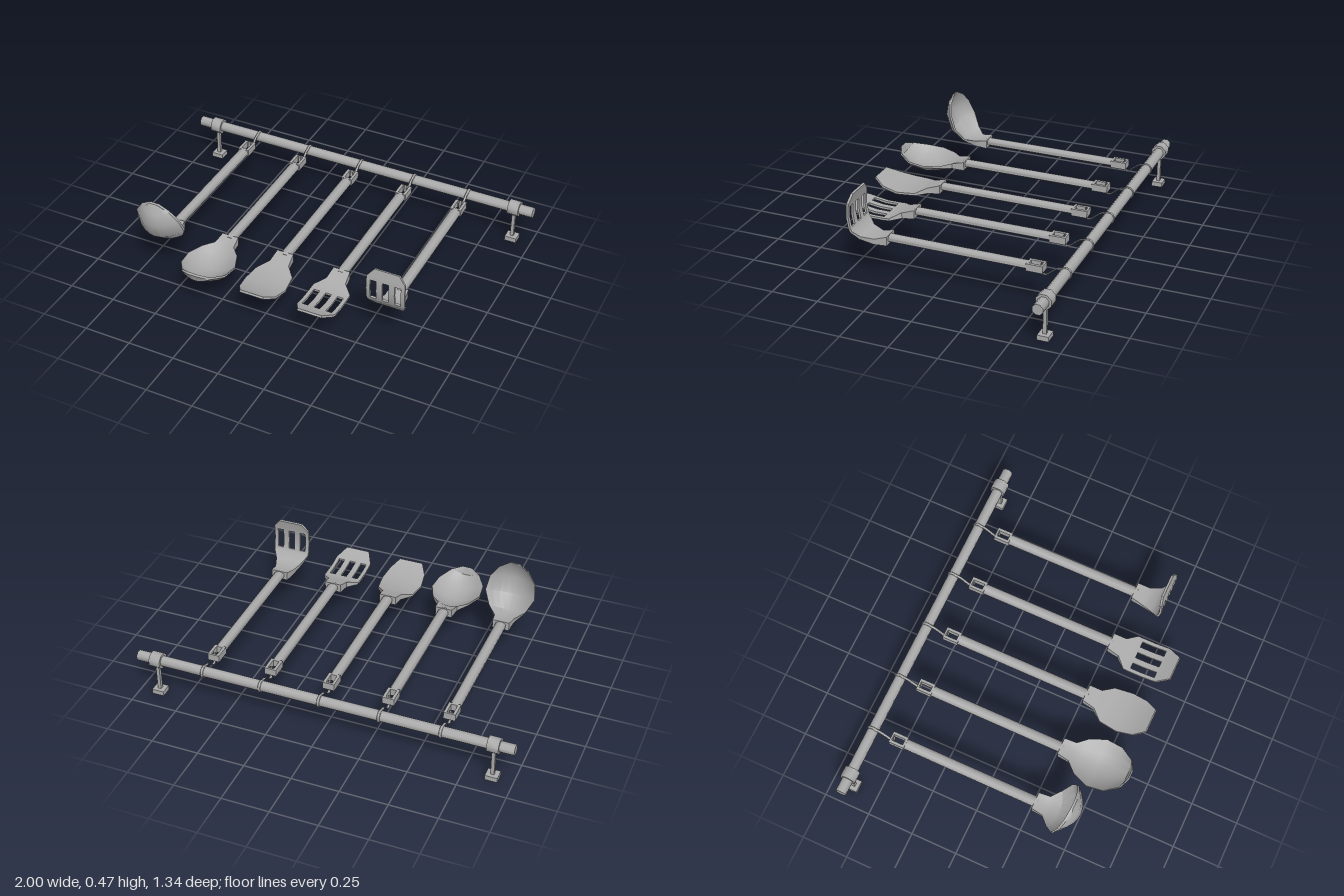
import * as THREE from 'three';
import { toCreasedNormals } from 'three/addons/utils/BufferGeometryUtils.js';

const steel = new THREE.MeshStandardMaterial({ color: 0xaaaaaa });
steel.name = 'steel grey';

const RAIL_Y = 0.205, RAIL_Z = -0.635, HANDLE_Y = 0.215;

function add(parent, name, geometry, x = 0, y = 0, z = 0) {
  const mesh = new THREE.Mesh(geometry, steel);
  mesh.name = name;
  mesh.position.set(x, y, z);
  parent.add(mesh);
  return mesh;
}

// Tool head: shell swept along stations [z, y, halfWidth, bowlDepth, thickness].
// columns are fractions of the half width; isHole(row, column) leaves slots open.
function headGeometry(stations, columns, isHole = () => false) {
  const rows = stations.length, cols = columns.length;
  const top = [], bottom = [];
  stations.forEach(([z, y, w, depth, thick], i) => {
    const a = stations[Math.max(i - 1, 0)], b = stations[Math.min(i + 1, rows - 1)];
    const tz = b[0] - a[0], ty = b[1] - a[1], len = Math.hypot(tz, ty);
    const nz = i ? -ty / len : 0, ny = i ? tz / len : 1;
    const point = (u, lift) => {
      const d = lift - depth * (1 - u * u);
      return [u * w, y + ny * d, z + nz * d];
    };
    top.push(columns.map(u => point(u, thick / 2)));
    bottom.push(columns.map(u => point(u, -thick / 2)));
  });
  const pos = [];
  const quad = (a, b, c, d) => pos.push(...a, ...b, ...c, ...a, ...c, ...d);
  const filled = (i, j) => i >= 0 && j >= 0 && i < rows - 1 && j < cols - 1 && !isHole(i, j);
  for (let i = 0; i < rows - 1; i++) {
    for (let j = 0; j < cols - 1; j++) {
      if (!filled(i, j)) continue;
      const ring = [[i, j], [i + 1, j], [i + 1, j + 1], [i, j + 1]];
      const t = ring.map(([r, c]) => top[r][c]);
      const b = ring.map(([r, c]) => bottom[r][c]);
      quad(...t);
      quad(b[3], b[2], b[1], b[0]);
      // edge walls wherever the neighbouring cell is open
      [[0, -1], [1, 0], [0, 1], [-1, 0]].forEach(([di, dj], k) => {
        const n = (k + 1) % 4;
        if (!filled(i + di, j + dj)) quad(t[k], b[k], b[n], t[n]);
      });
    }
  }
  const g = new THREE.BufferGeometry();
  g.setAttribute('position', new THREE.Float32BufferAttribute(pos, 3));
  return toCreasedNormals(g, 0.6);
}

const BOWL = [-1, -0.75, -0.5, -0.25, 0, 0.25, 0.5, 0.75, 1];
const SLOTTED = [-1, -0.8, -0.48, -0.16, 0.16, 0.48, 0.8, 1];
const slots = row => (i, j) => i >= row && i < row + 2 && j % 2 === 1;

const NECK = [0.28, 0.213, 0.045, 0, 0.048];
const T = 0.012;

const heads = {
  ladle: headGeometry([
    NECK, [0.345, 0.213, 0.053, 0.01, 0.03], [0.39, 0.245, 0.1, 0.04, T], [0.43, 0.31, 0.135, 0.073, T],
    [0.46, 0.385, 0.122, 0.068, T], [0.478, 0.44, 0.08, 0.038, T], [0.487, 0.473, 0.025, 0, T]], BOWL),
  spoon: headGeometry([
    NECK, [0.345, 0.208, 0.053, 0.01, 0.03], [0.395, 0.212, 0.1, 0.04, T], [0.48, 0.213, 0.135, 0.06, T],
    [0.57, 0.22, 0.125, 0.056, T], [0.64, 0.24, 0.078, 0.028, T], [0.665, 0.257, 0.025, 0, T]], BOWL),
  spatula: headGeometry([
    NECK, [0.345, 0.2, 0.053, 0, 0.03], [0.4, 0.188, 0.1, 0, T], [0.5, 0.185, 0.113, 0, T],
    [0.585, 0.2, 0.1, 0, T], [0.645, 0.23, 0.065, 0, T]], [-1, 0, 1]),
  slottedTurner: headGeometry([
    NECK, [0.345, 0.2, 0.053, 0, 0.03], [0.395, 0.188, 0.1, 0, T], [0.43, 0.186, 0.101, 0, T],
    [0.5, 0.186, 0.101, 0, T], [0.565, 0.196, 0.101, 0, T], [0.58, 0.2, 0.1, 0, T],
    [0.645, 0.23, 0.065, 0, T]], SLOTTED, slots(3)),
  uprightTurner: headGeometry([
    NECK, [0.345, 0.203, 0.053, 0, 0.03], [0.41, 0.222, 0.075, 0, 0.018], [0.445, 0.26, 0.1, 0, T],
    [0.453, 0.28, 0.101, 0, T], [0.462, 0.335, 0.101, 0, T], [0.46, 0.39, 0.101, 0, T],
    [0.457, 0.41, 0.1, 0, T], [0.448, 0.453, 0.065, 0, T]], SLOTTED, slots(4)),
};

// Flat end of the handle with its hanging hole
function handleEndGeometry() {
  const rect = (P, w, z0, z1) => {
    const p = new P();
    p.moveTo(-w, -z0); p.lineTo(-w, -z1); p.lineTo(w, -z1); p.lineTo(w, -z0);
    p.closePath();
    return p;
  };
  const shape = rect(THREE.Shape, 0.031, -0.53, -0.445);
  shape.holes.push(rect(THREE.Path, 0.016, -0.52, -0.457));
  const g = new THREE.ExtrudeGeometry(shape, { depth: 0.038, bevelEnabled: false });
  g.translate(0, 0, -0.019);
  g.rotateX(-Math.PI / 2);
  return g;
}

// Flat strip hook: wraps the rail, then drops and turns up through the hole
function hookGeometry() {
  const pts = [];
  for (let a = 290; a >= 50; a -= 30) {
    const r = a * Math.PI / 180;
    pts.push(new THREE.Vector3(0, RAIL_Y + 0.031 * Math.sin(r), RAIL_Z + 0.031 * Math.cos(r)));
  }
  [[0.225, -0.597], [0.203, -0.567], [0.182, -0.54], [0.182, -0.522], [0.21, -0.511], [0.246, -0.516]]
    .forEach(([y, z]) => pts.push(new THREE.Vector3(0, y, z)));
  const g = new THREE.TubeGeometry(new THREE.CatmullRomCurve3(pts), 48, 0.003, 6);
  g.scale(2.5, 1, 1);
  return g;
}

export function createModel() {
  const model = new THREE.Group();
  model.name = 'utensilRack';

  // Rail
  const rod = (r, length) => toCreasedNormals(
    new THREE.CylinderGeometry(r, r, length, 8).rotateY(Math.PI / 8).rotateZ(Math.PI / 2), 1);
  add(model, 'rail', rod(0.029, 2), 0, RAIL_Y, RAIL_Z);

  // Rail supports
  for (const x of [-0.895, 0.895]) {
    const support = new THREE.Group();
    support.name = x < 0 ? 'rightSupport' : 'leftSupport';
    support.position.set(x, 0, RAIL_Z);
    add(support, 'collar', rod(0.042, 0.06), 0, RAIL_Y);
    add(support, 'post', new THREE.BoxGeometry(0.018, 0.15, 0.018), 0, 0.098);
    add(support, 'foot', new THREE.BoxGeometry(0.064, 0.026, 0.058), 0, 0.013);
    model.add(support);
  }

  // Five utensils, each with handle, hole, hook and its own head
  const handle = toCreasedNormals(
    new THREE.CylinderGeometry(0.029, 0.029, 0.75, 8).rotateY(Math.PI / 8).rotateX(Math.PI / 2).scale(1, 0.7, 1), 1);
  const end = handleEndGeometry();
  const hook = hookGeometry();
  Object.entries(heads).forEach(([name, head], i) => {
    const utensil = new THREE.Group();
    utensil.name = name;
    utensil.position.x = (i - 2) * 0.316;
    add(utensil, 'head', head);
    add(utensil, 'handle', handle, 0, HANDLE_Y, -0.08);
    add(utensil, 'handleEnd', end, 0, HANDLE_Y);
    add(utensil, 'hook', hook);
    model.add(utensil);
  });
  return model;
}
